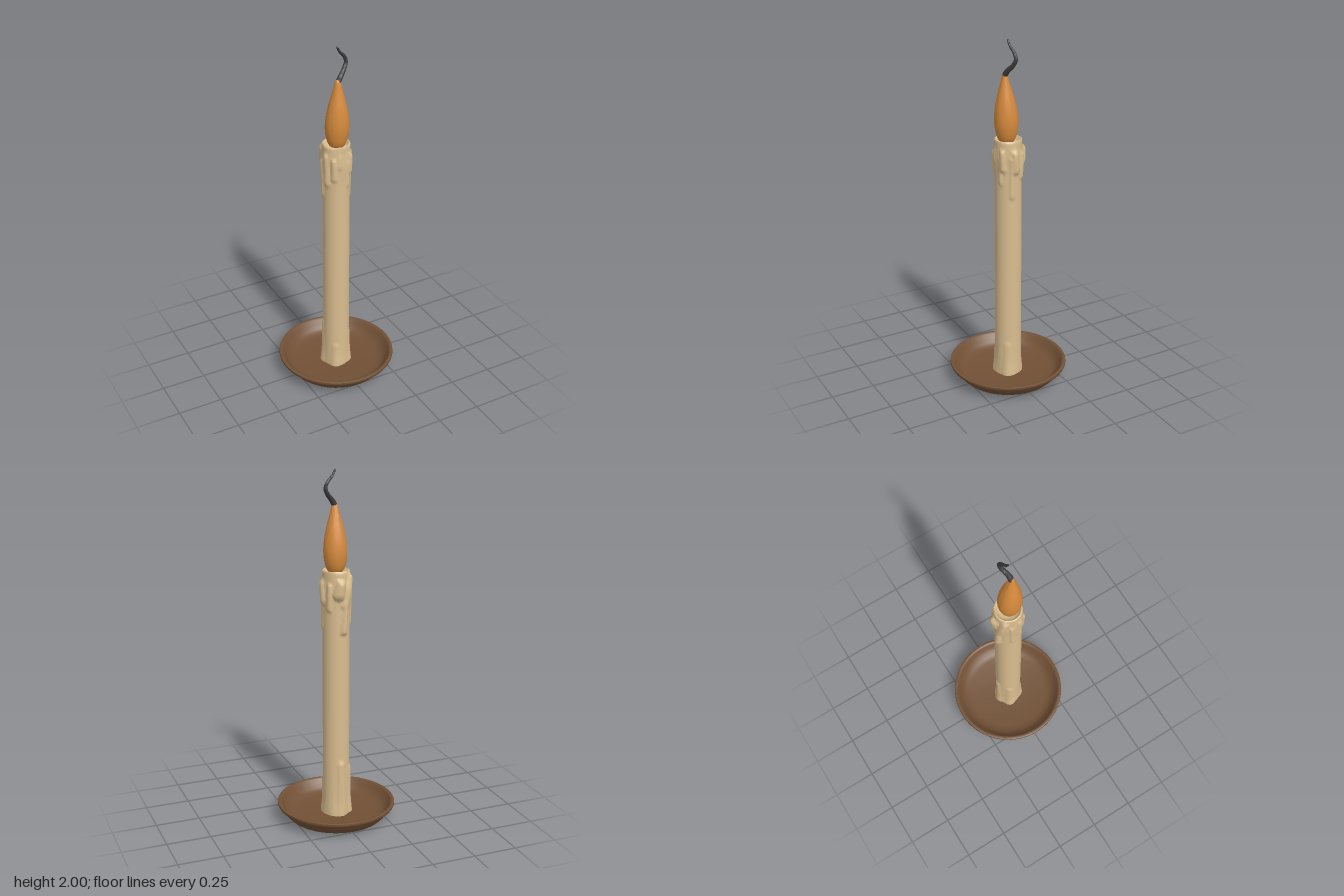
import * as THREE from 'three';
import { mergeVertices, toCreasedNormals } from 'three/addons/utils/BufferGeometryUtils.js';

const mat = (name, color) => {
  const m = new THREE.MeshStandardMaterial({ color });
  m.name = name;
  return m;
};

const lathe = (points, segments) =>
  new THREE.LatheGeometry(points.map(([r, y]) => new THREE.Vector2(r, y)), segments);

// Move every vertex by a rule, then rebuild the normals without a seam
function reshape(geo, rule, crease) {
  const p = geo.attributes.position, v = new THREE.Vector3();
  for (let i = 0; i < p.count; i++) {
    rule(v.fromBufferAttribute(p, i), i);
    p.setXYZ(i, v.x, v.y, v.z);
  }
  geo.deleteAttribute('normal');
  geo.deleteAttribute('uv');
  return toCreasedNormals(mergeVertices(geo, 1e-5), crease);
}

// Wax runs: start angle, start height, end angle, end height, half width, thickness
// (angles in degrees, 0 = +x, 90 = front)
const RUNS = [
  [0, 1.39, -4, 1.29, 0.026, 0.018],
  [14, 1.36, 12, 1.14, 0.017, 0.009],
  [52, 1.4, 50, 1.3, 0.02, 0.016],
  [64, 1.36, 62, 1.22, 0.014, 0.008],
  [100, 1.4, 102, 1.34, 0.016, 0.006],
  [128, 1.38, 126, 1.27, 0.02, 0.011],
  [162, 1.4, 160, 1.24, 0.024, 0.013],
  [196, 1.36, 192, 1.16, 0.018, 0.01],
  [222, 1.42, 250, 1.27, 0.03, 0.02],
  [250, 1.27, 258, 1.12, 0.022, 0.02],
  [272, 1.39, 278, 1.33, 0.036, 0.026],
  [318, 1.38, 322, 1.25, 0.02, 0.012],
  [268, 0.34, 262, 0.02, 0.03, 0.01],
  [205, 0.3, 200, 0.02, 0.03, 0.009],
  [30, 0.22, 34, 0.02, 0.03, 0.006],
  [120, 0.16, 122, 0.02, 0.03, 0.006],
];
const R = 0.075;

// Bulge of all runs at one place on the candle's side
function waxBulge(angle, y) {
  let bulge = 0;
  for (const [a0, y0, a1, y1, w, h] of RUNS) {
    const t = THREE.MathUtils.clamp((y - y0) / (y1 - y0), 0, 1);
    const centre = THREE.MathUtils.degToRad(a0 + (a1 - a0) * t);
    const da = Math.atan2(Math.sin(angle - centre), Math.cos(angle - centre)) * R;
    const dy = Math.max(y - Math.max(y0, y1), Math.min(y0, y1) - y, 0);
    const d = Math.hypot(da, dy) / (w * (0.75 + 0.25 * t));
    if (d < 1) bulge = Math.max(bulge, h * Math.sqrt(1 - d * d) * (1 - 0.4 * d));
  }
  return bulge;
}

function createCandle() {
  const profile = [];
  for (let i = 0; i <= 130; i++) profile.push([R, 0.02 + i * 0.011]);
  profile.push([0.074, 1.455], [0.069, 1.457], [0.064, 1.453], [0.06, 1.435], [0.045, 1.425], [0, 1.42]);
  return reshape(lathe(profile, 80), (v) => {
    const r = Math.hypot(v.x, v.z);
    if (r < 0.0745) return;
    const a = Math.atan2(v.z, v.x);
    // Soft collar of wax below the rim and a slight spread at the foot
    const collar = 0.004 * Math.exp(-(((v.y - 1.36 - 0.03 * Math.sin(3 * a)) / 0.06) ** 2));
    const foot = 0.006 * Math.exp(-(((v.y - 0.02) / 0.07) ** 2)) * (1 + 0.5 * Math.sin(4 * a));
    const k = (r + collar + foot + waxBulge(a, v.y)) / r;
    v.x *= k;
    v.z *= k;
  }, 0.9);
}

function createFlame() {
  const outline = new THREE.SplineCurve([
    [0.0, 1.43], [0.03, 1.437], [0.049, 1.46], [0.061, 1.505], [0.065, 1.555], [0.061, 1.61],
    [0.05, 1.67], [0.036, 1.725], [0.023, 1.775], [0.013, 1.815], [0, 1.825],
  ].map(([r, y]) => new THREE.Vector2(r, y)));
  const pts = outline.getPoints(40).map((p) => [Math.max(p.x, 0), p.y]);
  // Lean the tip a little to the front
  return reshape(lathe(pts, 40), (v) => {
    v.z += 0.009 + 0.012 * Math.max(0, (v.y - 1.5) / 0.32);
  }, 1.2);
}

function createWick() {
  const curve = new THREE.CatmullRomCurve3([
    [0, 1.805, 0.02], [0.018, 1.832, 0.015], [0.05, 1.868, -0.003], [0.064, 1.9, -0.011],
    [0.052, 1.932, -0.009], [0.022, 1.963, -0.001], [0.002, 1.998, 0.004],
  ].map((p) => new THREE.Vector3(...p)));
  const n = 48, sides = 10;
  const centres = curve.getSpacedPoints(n);
  // Taper each ring towards a closed tip
  return reshape(new THREE.TubeGeometry(curve, n, 0.016, sides), (v, i) => {
    const ring = Math.floor(i / (sides + 1)), c = centres[ring];
    v.sub(c).multiplyScalar(ring === n ? 0.02 : 1 - 0.68 * (ring / n)).add(c);
  }, 1.2);
}

function createDish() {
  return toCreasedNormals(lathe([
    [0, 0], [0.2, 0.001], [0.245, 0.005], [0.272, 0.016], [0.292, 0.036], [0.308, 0.06],
    [0.318, 0.076], [0.332, 0.08], [0.336, 0.088], [0.335, 0.098], [0.328, 0.101], [0.318, 0.1],
    [0.313, 0.094], [0.3, 0.072], [0.282, 0.05], [0.26, 0.036], [0.23, 0.03], [0, 0.028],
  ], 72), 0.9);
}

export function createModel() {
  const model = new THREE.Group();
  model.name = 'candleOnDish';
  const add = (name, geometry, material) => {
    const mesh = new THREE.Mesh(geometry, material);
    mesh.name = name;
    model.add(mesh);
  };
  add('dish', createDish(), mat('brownClay', 0x725136));
  add('candle', createCandle(), mat('creamWax', 0xd9bd8f));
  add('flame', createFlame(), mat('orangeFlame', 0xd68a3c));
  add('wick', createWick(), mat('charredWick', 0x3c3c3e));
  return model;
}
